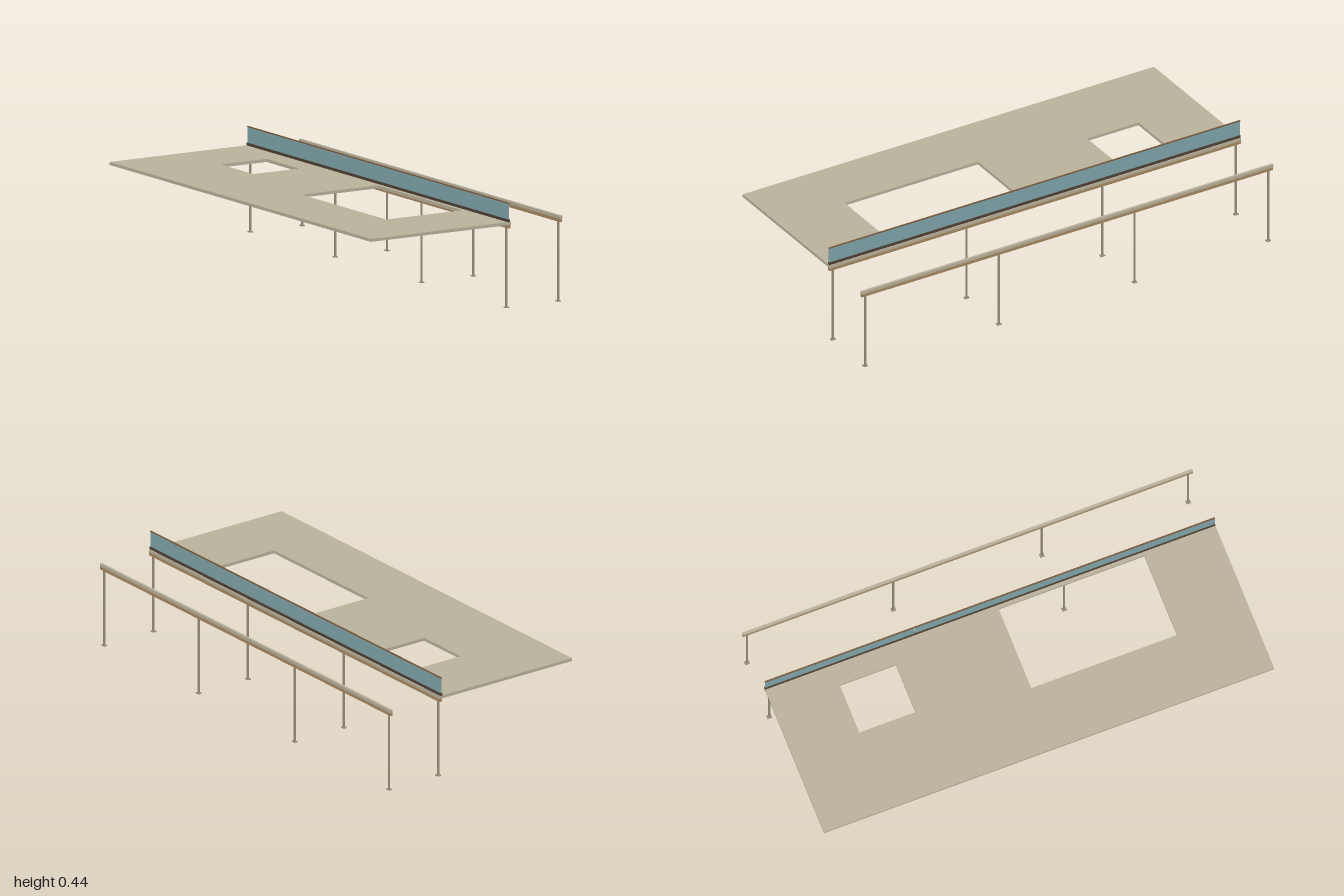
import * as THREE from 'three';

const mat = (name, color) => {
  const m = new THREE.MeshStandardMaterial({ color });
  m.name = name;
  return m;
};

export function createModel() {
  const model = new THREE.Group();
  model.name = 'mezzanine';
  const concrete = mat('concrete', 0xb9b19b);
  const beamTan = mat('beamTan', 0xa88a62);
  const steel = mat('steel', 0x9a907c);
  const darkBronze = mat('darkBronze', 0x4d4033);
  const railBrown = mat('railBrown', 0x7a5a3c);
  const glass = mat('glass', 0x7fa5ab);

  const add = (name, geometry, material, parent = model) => {
    const mesh = new THREE.Mesh(geometry, material);
    mesh.name = name;
    parent.add(mesh);
    return mesh;
  };
  // Box given by its limits on each axis
  const box = (name, material, x0, x1, y0, y1, z0, z1, parent) => {
    const g = new THREE.BoxGeometry(x1 - x0, y1 - y0, z1 - z0);
    g.translate((x0 + x1) / 2, (y0 + y1) / 2, (z0 + z1) / 2);
    return add(name, g, material, parent);
  };

  // Floor slab with two rectangular openings, drawn in plan
  const rect = (path, x0, x1, z0, z1) => {
    path.moveTo(x0, -z0);
    path.lineTo(x0, -z1);
    path.lineTo(x1, -z1);
    path.lineTo(x1, -z0);
    path.closePath();
    return path;
  };
  const plan = rect(new THREE.Shape(), -0.472, 0.203, -1, 1);
  plan.holes.push(
    rect(new THREE.Path(), -0.115, 0.11, -0.705, -0.455),
    rect(new THREE.Path(), -0.19, 0.186, 0.03, 0.678)
  );
  const slab = new THREE.ExtrudeGeometry(plan, { depth: 0.013, bevelEnabled: false });
  slab.rotateX(-Math.PI / 2).translate(0, 0.351, 0);
  add('floorSlab', slab, concrete);

  // Two post-and-beam rows
  const rows = [
    { name: 'inner', post: 0.208, x0: 0.203, x1: 0.217 },
    { name: 'outer', post: 0.463, x0: 0.460, x1: 0.471 }
  ];
  for (const { name, post, x0, x1 } of rows) {
    const row = new THREE.Group();
    row.name = name + 'Row';
    model.add(row);
    box('beamTop', concrete, x0, x1, 0.351, 0.364, -1, 1, row);
    box('beamBottom', beamTan, x0, x1 - 0.001, 0.337, 0.351, -1, 1, row);
    for (const z of [-0.98, -0.33, 0.33, 0.98]) {
      box('post', steel, post - 0.0035, post + 0.0035, 0.004, 0.345, z - 0.0035, z + 0.0035, row);
      box('basePlate', steel, post - 0.008, post + 0.008, 0, 0.004, z - 0.01, z + 0.01, row);
    }
  }

  // Glass balustrade along the slab edge
  const railing = new THREE.Group();
  railing.name = 'balustrade';
  model.add(railing);
  box('glassShoe', darkBronze, 0.202, 0.213, 0.364, 0.375, -1, 1, railing);
  for (let i = 0; i < 3; i++) {
    const z0 = -1 + (i * 2) / 3;
    box('glassPanel', glass, 0.206, 0.209, 0.375, 0.441, z0 + 0.001, z0 + 2 / 3 - 0.001, railing);
  }
  box('handrail', railBrown, 0.2045, 0.2105, 0.441, 0.445, -1, 1, railing);

  return model;
}
